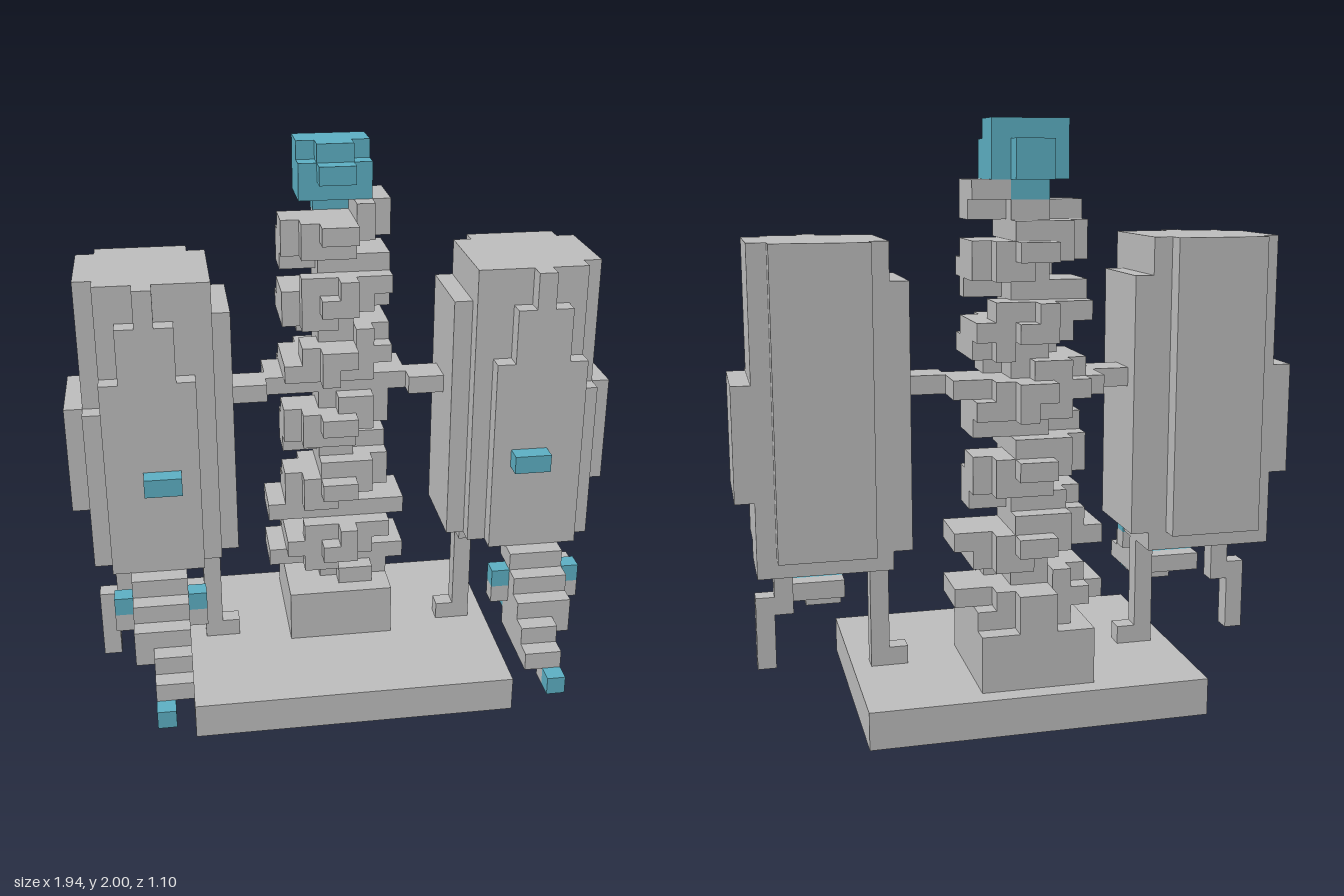
import * as THREE from 'three';
import { mergeGeometries } from 'three/addons/utils/BufferGeometryUtils.js';

const U = 2 / 31; // size of one block

// Box from block-grid limits [x0, x1, y0, y1, z0, z1]
function block([x0, x1, y0, y1, z0, z1]) {
  const g = new THREE.BoxGeometry((x1 - x0) * U, (y1 - y0) * U, (z1 - z0) * U);
  g.translate((x0 + x1) / 2 * U, (y0 + y1) / 2 * U, (z0 + z1) / 2 * U);
  return g;
}

export function createModel() {
  const gray = new THREE.MeshStandardMaterial({ color: 0xc0c0c0 });
  gray.name = 'stoneGray';
  const blue = new THREE.MeshStandardMaterial({ color: 0x5eb2c6 });
  blue.name = 'accentBlue';

  const model = new THREE.Group();
  model.name = 'model';
  const part = (name, material, boxes, parent = model) => {
    const mesh = new THREE.Mesh(mergeGeometries(boxes.map(block)), material);
    mesh.name = name;
    parent.add(mesh);
  };

  // Base and pedestal
  part('base', gray, [[-9, 9, 0, 2, -8.5, 5.5]]);
  part('pedestal', gray, [[-3, 3, 2, 5, -7.5, -0.5]]);

  // Column core with a coil rising around it
  part('columnCore', gray, [[-1, 1, 5, 27, -5.5, -2.5]]);
  const coil = [], pitch = 3.73, cz = -4;
  for (let y = 5; y < 28; y++) {
    for (let x = -3; x < 3; x++) {
      for (let k = -3; k <= 3; k++) {
        const dx = x + 0.5, r = Math.hypot(dx, k);
        if (y === 27 && (dx < 1 || k < -1)) continue;
        const turn = Math.atan2(-dx, -k) / (2 * Math.PI);
        let dy = y + 0.5 - 6 - pitch * turn;
        dy -= pitch * Math.round(dy / pitch);
        if ((r - 2) ** 2 + dy * dy <= 1.5) coil.push([x, x + 1, y, y + 1, cz + k - 0.5, cz + k + 0.5]);
      }
    }
  }
  part('coil', gray, coil);

  // Head on top of the column
  part('head', blue, [
    [-2, 2, 28, 30, -5.5, -2.5],
    [-2, 2, 30, 31, -5.5, -3.5],
    [-1, 1, 30, 31, -3.5, -2.5],
    [-1, 1, 28, 30, -6.5, -5.5],
    [-1, 1, 29, 30, -2.5, -1.5],
    [-1, 1, 27, 28, -5.5, -4.5],
  ]);

  // Mirrored side parts
  for (const s of [1, -1]) {
    const side = new THREE.Group();
    side.name = s > 0 ? 'leftSide' : 'rightSide';
    model.add(side);
    const add = (name, material, boxes) => part(name, material,
      boxes.map(([a, b, ...rest]) => (s > 0 ? [a, b, ...rest] : [-b, -a, ...rest])), side);

    // Arm joining the column to the pod, and stubs low on the column
    add('arm', gray, [[1, 4, 17, 18, -5.5, -2.5], [4, 6, 17, 18, -3.5, -1.5]]);
    add('columnStubs', gray, [[1, 4, 6, 7, -5.5, -2.5], [1, 4, 9, 10, -5.5, -2.5]]);

    // Upright pod with stepped corners
    add('pod', gray, [
      [8, 13, 9, 25, -5.5, 1.5],
      [7, 14, 9, 25, -4.5, 0.5],
      [7, 13, 9, 25, 0.5, 1.5],
      [13, 14, 9, 18, 0.5, 1.5],
      [7, 14, 8, 9, -4.5, -0.5],
      [6, 7, 9, 23, -4.5, 0.5],
      [14, 15, 12, 18, -4.5, 0.5],
    ]);
    add('podFront', gray, [
      [8, 13, 9, 18, 1.5, 2.5],
      [9, 12, 18, 23, 1.5, 2.5],
      [8, 9, 18, 20, 1.5, 2.5],
      [12, 13, 18, 20, 1.5, 2.5],
      [10, 11, 23, 25, 1.5, 2.5],
    ]);
    add('podKnob', blue, [[9, 11, 14, 15, 2.5, 3.5]]);

    // Stepped snout below the pod
    add('snout', gray, [
      [9, 12, 8, 9, 1.5, 3.5],
      [9, 12, 7, 8, 2.5, 4.5],
      [9, 12, 6, 7, 2.5, 5.5],
      [8, 13, 6, 7, 2.5, 3.5],
      [9, 12, 5, 6, 2.5, 5.5],
      [9, 11, 5, 6, 5.5, 6.5],
      [9, 11, 4, 5, 2.5, 7.5],
      [10, 11, 3, 4, 6.5, 7.5],
      [9, 12, 5, 6, 0.5, 1.5],
    ]);
    add('snoutTip', blue, [[10, 11, 3, 4, 7.5, 8.5]]);
    add('eyes', blue, [[8, 9, 7, 8, 2.5, 3.5], [12, 13, 7, 8, 2.5, 3.5]]);
    add('throat', blue, [[9, 12, 5, 6, 1.5, 2.5]]);

    // Legs
    add('innerLeg', gray, [[7, 8, 2, 8, -2.5, -1.5], [6, 7, 2, 3, -2.5, -1.5]]);
    add('outerLeg', gray, [[13, 14, 2, 6, -1.5, -0.5], [12, 13, 5, 8, -1.5, -0.5]]);
  }
  return model;
}
